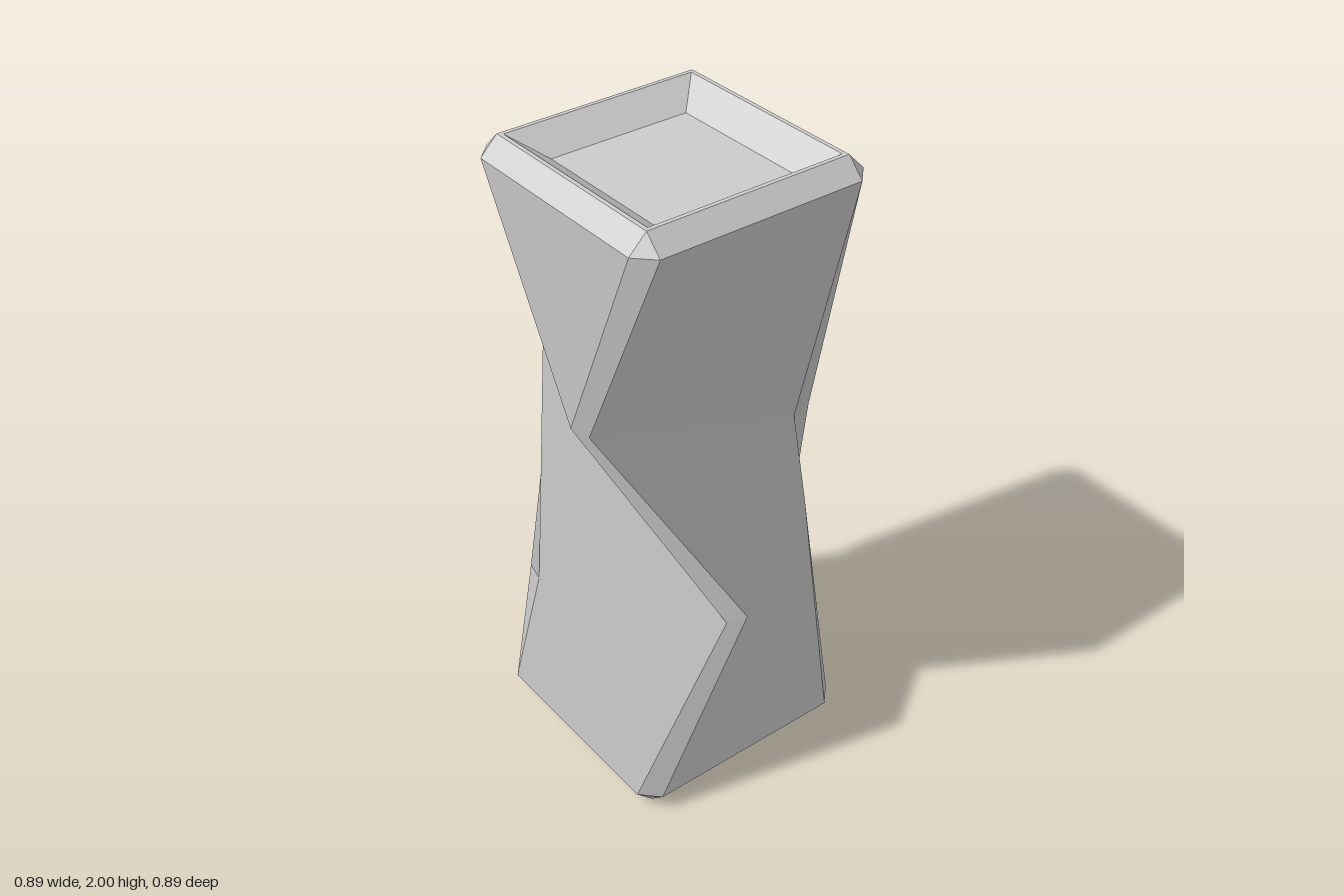
import * as THREE from 'three';

// A level is [y, leftX, leftZ, rightX, rightZ]: the two ends of its front edge.
// The other three sides are quarter turns of that edge.
const square = (y, s) => [y, -s, s, s, s];

function ring([y, lx, lz, rx, rz]) {
  const points = [];
  let ends = [[lx, lz], [rx, rz]];
  for (let side = 0; side < 4; side++) {
    ends.forEach(([x, z]) => points.push(new THREE.Vector3(x, y, z)));
    ends = ends.map(([x, z]) => [z, -x]);
  }
  return points;
}

// Joins successive rings with facets, each shaded by a single normal
function loft(levels) {
  const rings = levels.map(ring);
  const positions = [], normals = [];
  for (let i = 0; i + 1 < rings.length; i++) {
    for (let j = 0; j < 8; j++) {
      const k = (j + 1) % 8;
      const bl = rings[i][j], br = rings[i][k];
      const tl = rings[i + 1][j], tr = rings[i + 1][k];
      const normal = br.clone().sub(tl).cross(tr.clone().sub(bl));
      if (normal.length() < 1e-6) continue;
      normal.normalize();
      for (const tri of [[tl, bl, br], [tl, br, tr]]) {
        if (new THREE.Triangle(...tri).getArea() < 1e-7) continue;
        for (const p of tri) {
          positions.push(p.x, p.y, p.z);
          normals.push(normal.x, normal.y, normal.z);
        }
      }
    }
  }
  const geometry = new THREE.BufferGeometry();
  geometry.setAttribute('position', new THREE.Float32BufferAttribute(positions, 3));
  geometry.setAttribute('normal', new THREE.Float32BufferAttribute(normals, 3));
  return geometry;
}

export function createModel() {
  const group = new THREE.Group();
  group.name = 'twistedColumn';
  const material = new THREE.MeshStandardMaterial({ color: 0xcccccc });
  const add = (name, levels) => {
    const mesh = new THREE.Mesh(loft(levels), material);
    mesh.name = name;
    group.add(mesh);
  };

  // Bevelled body, twisted one way, then the other, then back
  add('body', [
    square(0, 0),
    square(0, 0.33),
    [0.055, -0.33, 0.385, 0.33, 0.385],
    [0.69, -0.065, 0.445, 0.43, 0.13],
    [1.32, -0.405, 0.165, 0.10, 0.42],
    [1.945, -0.33, 0.385, 0.33, 0.385],
    square(2, 0.33),
  ]);

  // Narrow rim and the sloped shallow recess in the top
  add('topRecess', [
    square(2, 0.33),
    square(2, 0.317),
    square(1.935, 0.228),
    square(1.935, 0),
  ]);

  return group;
}
